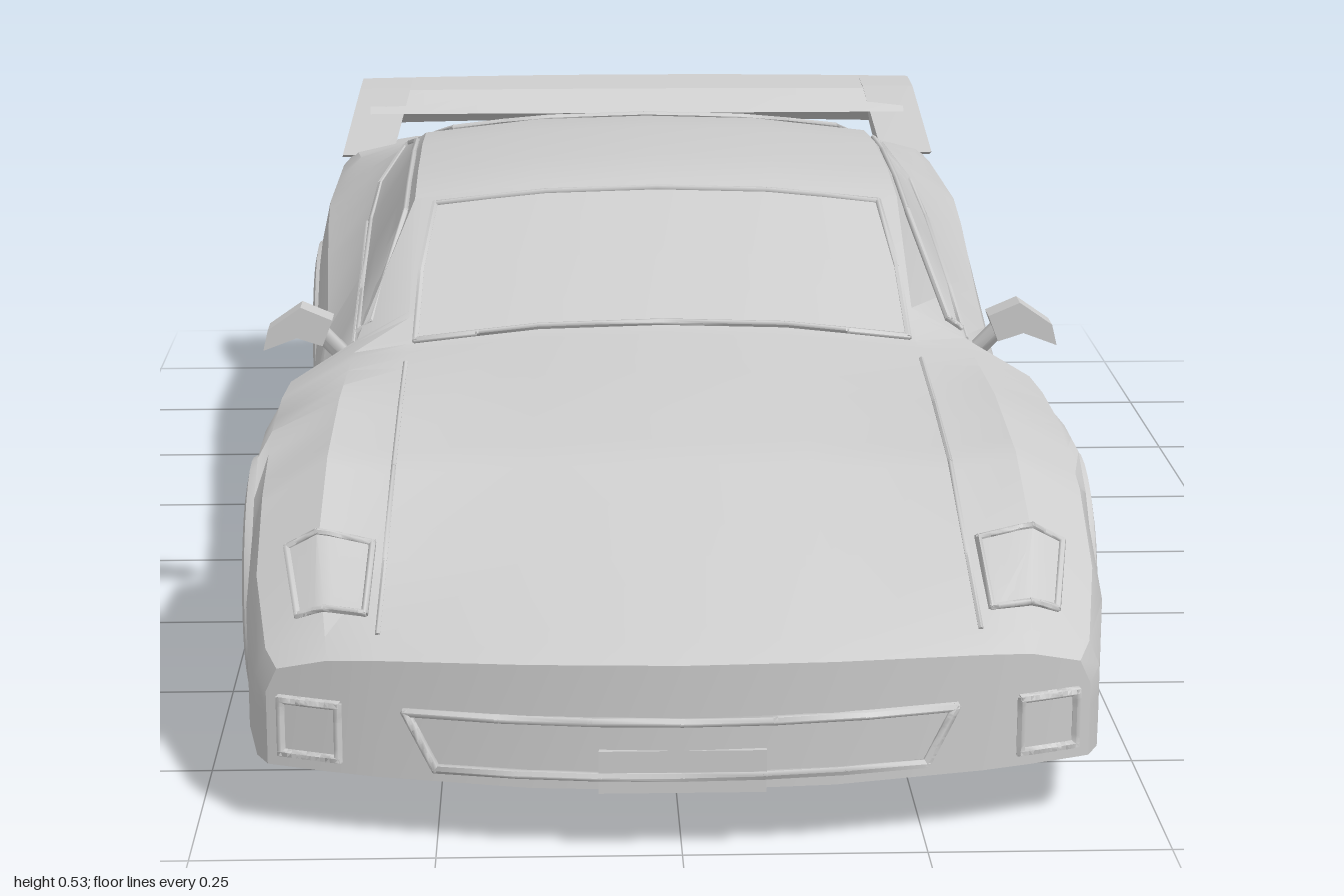
import * as THREE from 'three';
import { mergeGeometries, toCreasedNormals } from 'three/addons/utils/BufferGeometryUtils.js';

const mat = new THREE.MeshStandardMaterial({ color: 0xcccccc, side: THREE.DoubleSide });
const V = (x, y, z) => new THREE.Vector3(x, y, z);
const { clamp, lerp } = THREE.MathUtils;
const WHEEL_Z = [0.55, -0.59];

// Body lines from nose to tail, as [z, value]: half widths and heights
const sillWidth = [[1, .425], [.97, .438], [.85, .453], [.4, .455], [.31, .45], [0, .45], [-.36, .455], [-.93, .452], [-1, .42]];
const doorInset = [[.32, 0], [.31, .035], [.13, .03], [-.2, .014], [-.5, 0]];
const shoulderY = [[1, .175], [.85, .238], [.7, .295], [.55, .325], [.32, .322], [0, .345], [-.5, .37], [-.8, .365], [-1, .34]];
const beltWidth = [[1, .36], [.85, .375], [.31, .36], [-.36, .372], [-.8, .42], [-.93, .42], [-1, .39]];
const beltY = [[1, .19], [.85, .275], [.7, .338], [.55, .362], [.36, .367], [-.36, .41], [-.5, .412], [-1, .37]];
const edgeWidth = [[1, .31], [.7, .3], [.13, .296], [-.36, .3], [-.66, .33], [-1, .34]];
const edgeY = [[1, .195], [.7, .327], [.55, .353], [.36, .377], [.13, .503], [0, .512], [-.2, .51], [-.36, .495], [-.66, .425], [-1, .377]];
const crown = [[1, .008], [.7, .011], [.36, .021], [-.5, .022], [-.66, .016], [-1, .005]];
// Wheel arch height by distance from the axle
const ARCH = [[0, .297], [.055, .297], [.115, .268], [.15, .17], [.165, .07]];

function value(rows, t) {
  const s = Math.sign(rows[1][0] - rows[0][0]);
  let i = 0;
  while (i < rows.length - 2 && (rows[i + 1][0] - t) * s < 0) i++;
  const [a, b] = [rows[i], rows[i + 1]];
  return lerp(a[1], b[1], clamp((t - a[0]) / (b[0] - a[0]), 0, 1));
}
// Nose and tail are bowed in plan
function bend(z, x) {
  const q = (x / .43) ** 2;
  return z - .09 * q * clamp((z - .7) / .3, 0, 1) + .05 * q * clamp((-z - .8) / .2, 0, 1);
}
function bendGeo(g) {
  const p = g.attributes.position;
  for (let i = 0; i < p.count; i++) p.setZ(i, bend(p.getZ(i), p.getX(i)));
  return g;
}
// Cross-section of the body, from the floor centre up the left side and down the right
function ring(z) {
  const floor = lerp(.07, .14, clamp((-z - .84) / .16, 0, 1));
  const arch = Math.max(floor, ...WHEEL_Z.map(c => value(ARCH, Math.abs(z - c))));
  const wS = value(sillWidth, z), inset = value(doorInset, z), wD = wS - inset;
  const yS = Math.max(arch + .005, .12), yH = value(shoulderY, z);
  const wE = value(edgeWidth, z), yE = value(edgeY, z), rise = value(crown, z);
  const half = [[0, floor], [.31, floor], [.31, arch], [wS, arch], [wS, yS], [wD, yS + .004],
    [wS - inset * .85, Math.max(yH * .85, yS + .008)], [wD - .012, yH], [value(beltWidth, z), value(beltY, z)],
    [wE, yE], [wE * .5, yE + rise * .8], [0, yE + rise]];
  const all = [...half, ...half.slice(1, 11).reverse().map(([x, y]) => [-x, y])];
  return all.map(([x, y]) => V(x, y, bend(z, x)));
}
// Point on the body skin at station z and ring position u, pushed out by off
function skin(z, u, off = 0) {
  const at = (zz, uu) => {
    const r = ring(zz), i = Math.floor(uu);
    return r[i % 22].clone().lerp(r[(i + 1) % 22], uu - i);
  };
  const p = at(z, u);
  const n = at(z - .005, u).sub(p).cross(at(z, u + .01).sub(p)).normalize();
  return p.addScaledVector(n, off);
}
function fromTris(pts) {
  return new THREE.BufferGeometry().setFromPoints(pts);
}
function grid(rows, closed) {
  const out = [], n = rows[0].length;
  for (let k = 0; k < rows.length - 1; k++)
    for (let i = 0; i < (closed ? n : n - 1); i++) {
      const j = (i + 1) % n, a = rows[k][i], b = rows[k][j], c = rows[k + 1][i], d = rows[k + 1][j];
      out.push(a, c, b, b, c, d);
    }
  return out;
}
function mesh(parent, name, geo, crease = .5) {
  const m = new THREE.Mesh(toCreasedNormals(geo.index ? geo.toNonIndexed() : geo, crease), mat);
  m.name = name;
  parent.add(m);
}
// Thin bars along a polyline
function trim(parent, name, pts, r, closed = true) {
  const bars = [];
  for (let i = 0; i < pts.length - (closed ? 0 : 1); i++) {
    const a = pts[i], d = pts[(i + 1) % pts.length].clone().sub(a), len = d.length();
    if (len < 1e-4) continue;
    const g = new THREE.CylinderGeometry(r, r, len + r, 6).translate(0, len / 2, 0);
    g.applyQuaternion(new THREE.Quaternion().setFromUnitVectors(V(0, 1, 0), d.normalize()));
    bars.push(g.translate(a.x, a.y, a.z));
  }
  mesh(parent, name, mergeGeometries(bars), 1.2);
}
// Panel lying on the skin, rows of [z, u from, u to], with a rim
function panel(parent, name, rows, n = 8) {
  const pts = rows.map(([z, a, b]) => Array.from({ length: n + 1 }, (_, i) => skin(z, lerp(a, b, i / n), .003)));
  mesh(parent, name, fromTris(grid(pts)));
  const last = pts.length - 1, mid = pts.slice(1, last);
  const loop = [...pts[0], ...mid.map(r => r[n]), ...[...pts[last]].reverse(), ...mid.reverse().map(r => r[0])];
  trim(parent, name + 'Rim', loop, .004);
}
// Outline on the nose (end 1) or tail (end -1) face
function faceTrim(parent, name, corners, end, r) {
  const pts = [];
  corners.forEach(([x, y], i) => {
    const [x2, y2] = corners[(i + 1) % corners.length];
    for (let k = 0; k < 6; k++) {
      const px = lerp(x, x2, k / 6);
      pts.push(V(px, lerp(y, y2, k / 6), bend(end, px) + end * .001));
    }
  });
  trim(parent, name, pts, r);
}
// Side profile of [z, y] points swept from x0 to x1
function sweepX(pts, x0, x1, steps = 1) {
  const s = new THREE.Shape(pts.map(([z, y]) => new THREE.Vector2(-z, y)));
  return new THREE.ExtrudeGeometry(s, { depth: x1 - x0, steps, bevelEnabled: false }).rotateY(Math.PI / 2).translate(x0, 0, 0);
}
function lathe(pts, sides) {
  return new THREE.LatheGeometry(pts.map(([r, y]) => new THREE.Vector2(r, y)), sides);
}
function box(parent, name, w, h, d, x, y, z) {
  mesh(parent, name, new THREE.BoxGeometry(w, h, d).translate(x, y, z));
}

function makeWheel() {
  const g = new THREE.Group();
  const prof = [[0, -.07], [.135, -.07], [.148, -.055], [.15, 0], [.149, .05], [.14, .066], [.12, .07], [.112, .064], [.108, .035], [0, .035]];
  mesh(g, 'tyre', lathe(prof, 32).rotateX(Math.PI / 2), .6);
  // Five-spoke rim
  const face = new THREE.Shape().absarc(0, 0, .11, 0, Math.PI * 2);
  for (let i = 0; i < 5; i++) {
    const a = Math.PI / 2 + (i + .5) * Math.PI * .4;
    const pt = (r, da) => new THREE.Vector2(r * Math.cos(a + da), r * Math.sin(a + da));
    face.holes.push(new THREE.Path([pt(.045, -.3), pt(.094, -.42), pt(.098, 0), pt(.094, .42), pt(.045, .3)]));
  }
  mesh(g, 'rim', new THREE.ExtrudeGeometry(face, { depth: .022, bevelEnabled: false, curveSegments: 16 }).translate(0, 0, .035));
  mesh(g, 'hub', new THREE.CylinderGeometry(.018, .022, .008, 12).rotateX(Math.PI / 2).translate(0, 0, .06));
  return g;
}

export function createModel() {
  const car = new THREE.Group();
  car.name = 'sportsCar';

  // Body shell with wheel arches, closed at nose and tail
  const lines = [sillWidth, doorInset, shoulderY, beltWidth, beltY, edgeWidth, edgeY, crown];
  const stations = lines.flatMap(line => line.map(p => p[0]));
  for (const c of WHEEL_Z) for (const [d] of ARCH) stations.push(c + d, c - d);
  stations.sort((a, b) => b - a);
  const rings = stations.filter((z, i) => !i || stations[i - 1] - z > .001).map(ring);
  const tris = grid(rings, true);
  for (const [r, front] of [[rings[0], true], [rings[rings.length - 1], false]]) {
    for (let i = 3; i < 19; i++) {
      const [a, b] = [r[i], r[i + 1]], c = V(b.x, r[0].y, b.z), d = V(a.x, r[0].y, a.z);
      tris.push(...(front ? [a, b, c, a, c, d] : [a, c, b, a, d, c]));
    }
  }
  mesh(car, 'body', fromTris(tris), .45);

  // Windows
  panel(car, 'windscreen', [[.358, 9.06, 12.94], [.25, 9.08, 12.92], [.145, 9.17, 12.83]]);
  panel(car, 'rearWindow', [[-.375, 9.27, 12.73], [-.5, 9.15, 12.85], [-.655, 9.05, 12.95]]);
  const side = [[.29, 8.05, 8.3], [.13, 8.05, 8.86], [0, 8.05, 8.87], [-.2, 8.05, 8.87], [-.36, 8.15, 8.85], [-.47, 8.7, 8.8]];
  const lamp = [[.935, 7.6, 8.75], [.83, 7.5, 8.8]];
  const mirrorRows = rows => rows.map(([z, a, b]) => [z, 22 - b, 22 - a]);
  for (const s of [1, -1]) {
    const tag = s > 0 ? 'left' : 'right', flip = s > 0 ? r => r : mirrorRows, u = v => s > 0 ? v : 22 - v;
    panel(car, tag + 'SideWindow', flip(side), 4);
    panel(car, tag + 'Headlight', flip(lamp));
    trim(car, tag + 'BonnetSeam', [.96, .85, .7, .55, .42].map(z => skin(z, u(9))), .003, false);
    trim(car, tag + 'BeltLine', [.305, .13, 0, -.23].map(z => skin(z, u(7.9))), .0025, false);

    // Door mirror
    const head = new THREE.Shape([[.4, .365], [.43, .375], [.47, .36], [.464, .385], [.425, .412], [.388, .396]]
      .map(([x, y]) => new THREE.Vector2(s * x, y)));
    mesh(car, tag + 'Mirror', new THREE.ExtrudeGeometry(head, { depth: .035, bevelEnabled: false }).translate(0, 0, .285));
    trim(car, tag + 'MirrorArm', [V(s * .375, .345, .29), V(s * .41, .385, .3)], .011, false);

    // Fog light surround and tail lights
    faceTrim(car, tag + 'FogLight', [[.35, .085], [.41, .085], [.41, .143], [.35, .143]].map(([x, y]) => [s * x, y]), 1, .005);
    for (const x of [.25, .33]) {
      const lens = lathe([[0, 0], [.026, 0], [.028, .012], [.036, .012], [.036, -.01]].reverse(), 20);
      mesh(car, tag + 'TailLight', lens.rotateX(-Math.PI / 2).translate(s * x, .3, bend(-1, x)));
    }

    // Spoiler upright, leaning inward
    const profile = [[-.775, .385], [-.825, .478], [-.91, .482], [-.955, .41], [-.97, .37], [-.85, .37]];
    const upright = sweepX(profile, s > 0 ? .37 : -.445, s > 0 ? .445 : -.37);
    const p = upright.attributes.position;
    for (let i = 0; i < p.count; i++) p.setX(i, p.getX(i) - s * .28 * (p.getY(i) - .37));
    mesh(car, tag + 'SpoilerUpright', bendGeo(upright));

    // Wheels
    for (const z of WHEEL_Z) {
      const w = makeWheel();
      w.name = tag + (z > 0 ? 'FrontWheel' : 'RearWheel');
      w.position.set(s * .4, .15, z);
      w.rotation.y = s * Math.PI / 2;
      car.add(w);
    }
  }

  // Spoiler blade
  const blade = [[-.8, .442], [-.83, .474], [-.91, .482], [-.952, .42], [-.93, .41], [-.88, .435]];
  mesh(car, 'spoilerBlade', bendGeo(sweepX(blade, -.4, .4, 10)));

  // Nose: grille opening and plate
  faceTrim(car, 'grille', [[-.25, .085], [.25, .085], [.28, .143], [-.28, .143]], 1, .005);
  box(car, 'frontPlate', .17, .045, .012, 0, .09, .994);

  // Tail: light panel frame, plate, lower skirt and exhausts
  faceTrim(car, 'tailPanel', [[-.38, .245], [.38, .245], [.38, .355], [-.38, .355]], -1, .004);
  box(car, 'rearPlate', .24, .06, .012, 0, .295, -.994);
  const skirt = [[-.83, .07], [-.99, .118], [-.99, .17], [-.83, .1]];
  for (const [a, b] of [[-.415, -.32], [-.1, .1], [.32, .415]]) mesh(car, 'rearSkirt', bendGeo(sweepX(skirt, a, b, 2)));
  box(car, 'exhaustSurround', .15, .05, .02, 0, .15, -.988);
  for (const x of [-.045, 0, .045]) {
    const pipe = lathe([[.019, -.01], [.019, .008], [.014, .008], [.012, 0]], 14);
    mesh(car, 'exhaustPipe', pipe.rotateX(-Math.PI / 2).translate(x, .15, -.992));
  }
  return car;
}
